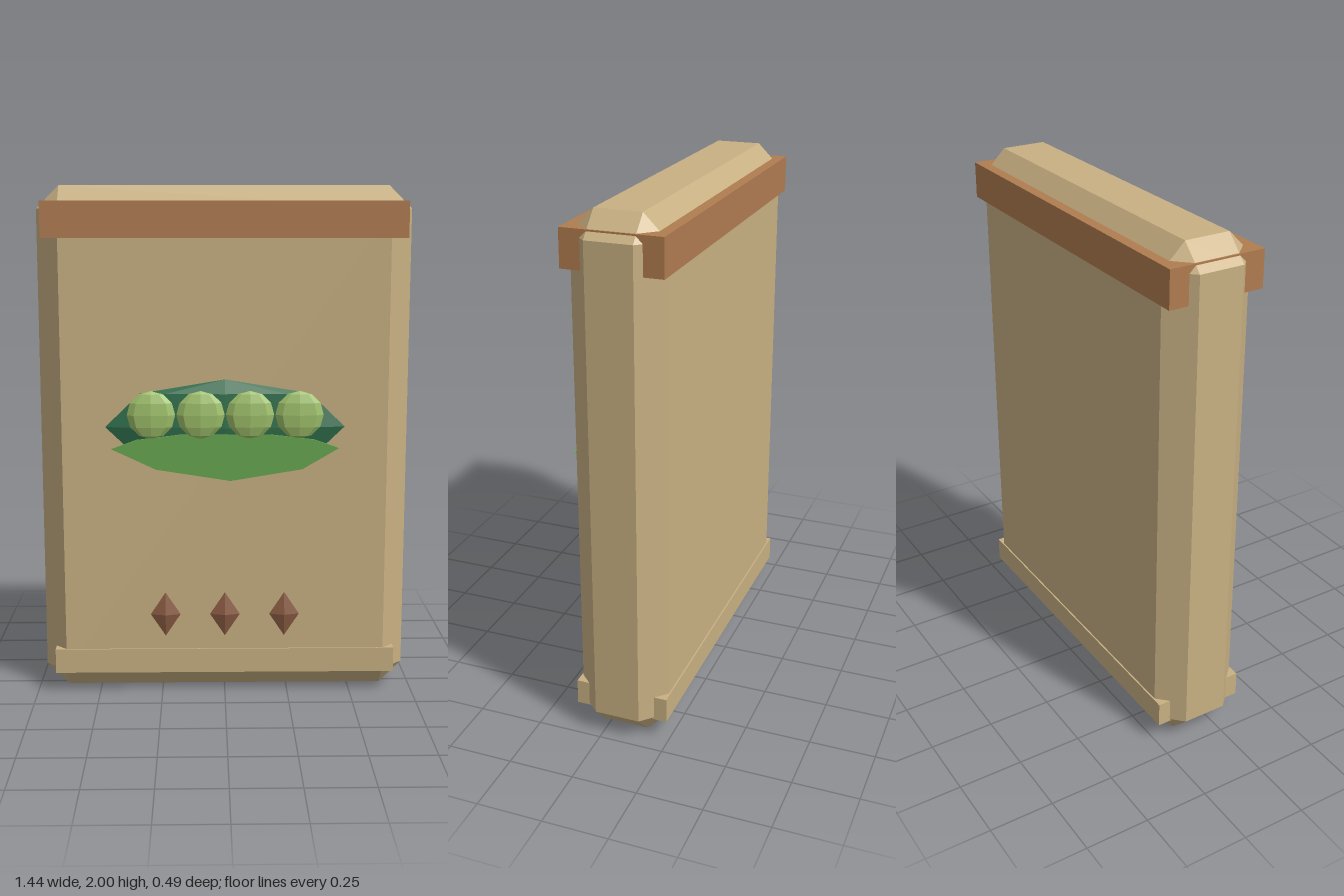
import * as THREE from 'three';
import { ConvexGeometry } from 'three/addons/geometries/ConvexGeometry.js';

const material = (name, color, extra = {}) => {
  const m = new THREE.MeshStandardMaterial({ color, flatShading: true, ...extra });
  m.name = name;
  return m;
};

// Box with every edge and corner cut off at 45 degrees
function chamferedBox(hx, hy, hz, c) {
  const points = [];
  for (const sx of [-1, 1]) for (const sy of [-1, 1]) for (const sz of [-1, 1]) {
    points.push(
      new THREE.Vector3(sx * hx, sy * (hy - c), sz * (hz - c)),
      new THREE.Vector3(sx * (hx - c), sy * hy, sz * (hz - c)),
      new THREE.Vector3(sx * (hx - c), sy * (hy - c), sz * hz)
    );
  }
  return new ConvexGeometry(points);
}

export function createModel() {
  const group = new THREE.Group();
  group.name = 'seedPacket';

  const paper = material('paper tan', 0xc8b082);
  const trim = material('trim brown', 0xb07c50);
  const podGreen = material('pod dark green', 0x2f6e4b);
  const leafGreen = material('pod light green', 0x68a650);
  const peaGreen = material('pea green', 0xa0c26c);
  const seedBrown = material('seed brown', 0x8a5c43);

  const add = (name, geometry, mat, x, y, z) => {
    const mesh = new THREE.Mesh(geometry, mat);
    mesh.name = name;
    mesh.position.set(x, y, z);
    group.add(mesh);
    return mesh;
  };

  // Packet body with top band and bottom hem
  add('packetBody', chamferedBox(0.722, 1, 0.175, 0.088), paper, 0, 1, -0.06);
  add('topBand', new THREE.BoxGeometry(1.396, 0.14, 0.372), trim, 0, 1.872, -0.06);
  add('bottomHem', new THREE.BoxGeometry(1.354, 0.098, 0.362), paper, 0, 0.128, -0.06);

  // Back shell of the pod: a flattened faceted ellipsoid
  const pod = new THREE.SphereGeometry(1, 8, 4).scale(0.46, 0.183, 0.037);
  add('podBack', pod, podGreen, 0, 1.088, 0.173);

  // Front lip of the pod: a thin leaf plate
  const outline = [
    [-0.435, 1.01], [-0.265, 0.93], [0.02, 0.885], [0.295, 0.93], [0.435, 1.012],
    [0.34, 1.045], [0.17, 1.065], [-0.17, 1.065], [-0.34, 1.045]
  ].map(([x, y]) => new THREE.Vector2(x, y));
  const lip = new THREE.ExtrudeGeometry(new THREE.Shape(outline), { depth: 0.008, bevelEnabled: false });
  add('podFront', lip, leafGreen, 0, 0, 0.213);

  // Row of peas
  const pea = new THREE.SphereGeometry(1, 8, 6).scale(0.092, 0.092, 0.026);
  [-0.282, -0.094, 0.094, 0.282].forEach((x, i) => add(`pea${i + 1}`, pea, peaGreen, x, 1.141, 0.219));

  // Diamond seeds along the bottom
  const seed = new THREE.OctahedronGeometry(1).scale(0.059, 0.089, 0.018);
  [-0.235, 0, 0.235].forEach((x, i) => add(`seed${i + 1}`, seed, seedBrown, x, 0.328, 0.138));

  return group;
}
